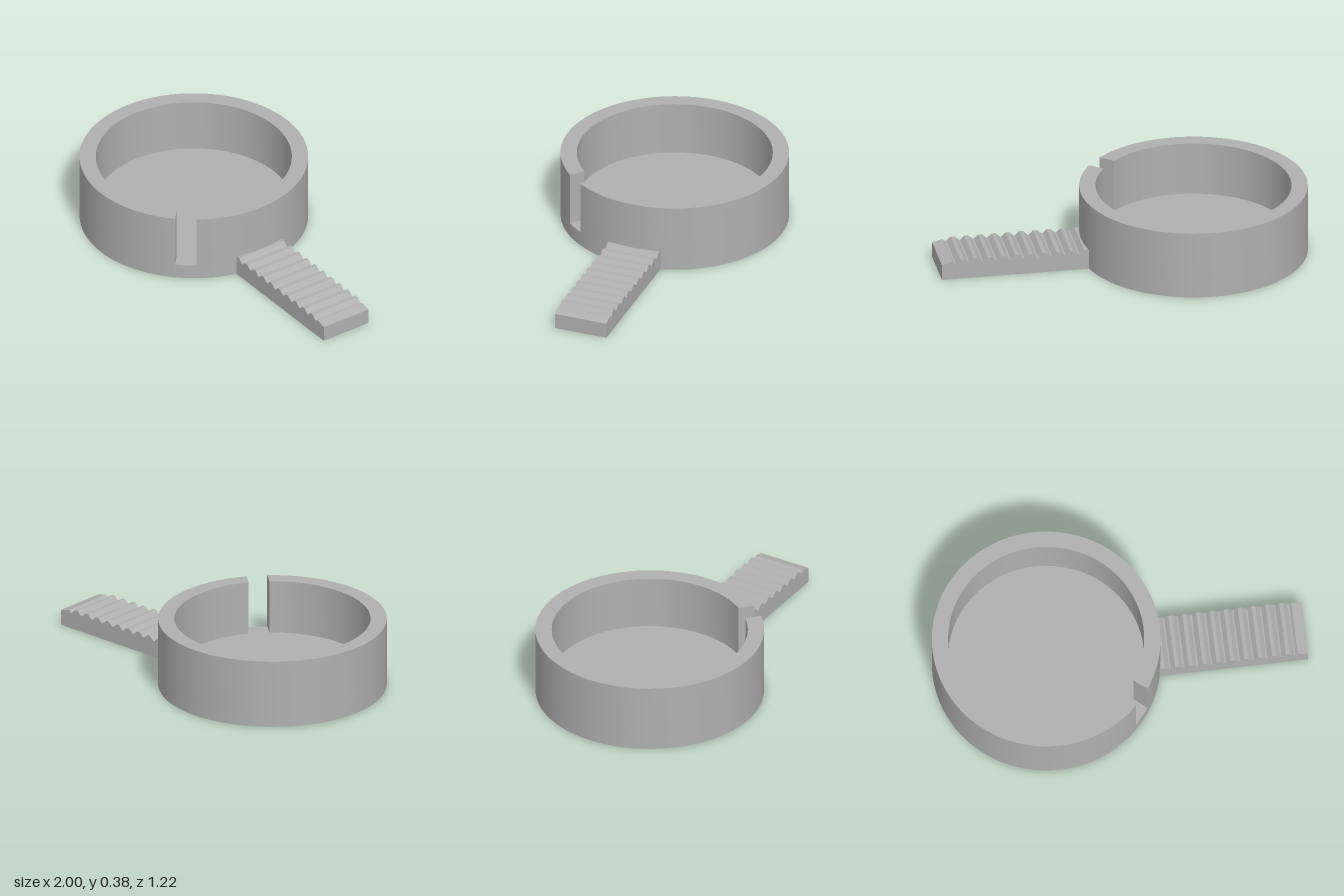
import * as THREE from 'three';
import { toCreasedNormals } from 'three/addons/utils/BufferGeometryUtils.js';

const CX = -0.39, R = 0.61, RI = 0.523;      // cup centre and radii
const FLOOR = 0.08, TOP = 0.375;             // floor and rim heights
const HALF = 0.147, SPLIT = 0.06;            // handle half width, recess depth
const PITCH = 0.0745, FIRST = 0.22;          // tooth spacing and first tooth

export function createModel() {
  const gray = new THREE.MeshStandardMaterial({ color: 0xb0b0b0 });
  gray.name = 'gray';
  const group = new THREE.Group();
  const add = (name, geometry) => {
    const mesh = new THREE.Mesh(geometry, gray);
    mesh.name = name;
    group.add(mesh);
    return mesh;
  };
  const extrude = (shape, depth) =>
    new THREE.ExtrudeGeometry(shape, { depth, bevelEnabled: false, curveSegments: 64 });

  // Solid cup floor
  add('cupFloor', new THREE.CylinderGeometry(R, R, FLOOR, 128)).position.set(CX, FLOOR / 2, 0);

  // Cup wall, open at a parallel-sided slot
  const slot = THREE.MathUtils.degToRad(-39.8), halfSlot = 0.056;
  const ao = Math.asin(halfSlot / R), ai = Math.asin(halfSlot / RI);
  const ring = new THREE.Shape();
  ring.absarc(0, 0, R, slot + ao, slot - ao + Math.PI * 2, false);
  ring.absarc(0, 0, RI, slot - ai + Math.PI * 2, slot + ai, true);
  ring.closePath();
  const wall = extrude(ring, TOP - FLOOR).rotateX(-Math.PI / 2);
  add('cupWall', toCreasedNormals(wall, 0.5)).position.set(CX, FLOOR, 0);

  // Lower handle, with a row of narrow recesses underneath
  const x0 = 0.16;
  const plate = new THREE.Shape([
    new THREE.Vector2(x0, -HALF), new THREE.Vector2(1, -HALF),
    new THREE.Vector2(1, HALF), new THREE.Vector2(x0, HALF),
  ]);
  for (let i = 1; i <= 9; i++) {
    const x = FIRST + i * PITCH, w = 0.014, l = 0.06;
    plate.holes.push(new THREE.Path([
      new THREE.Vector2(x - w, -l), new THREE.Vector2(x - w, l),
      new THREE.Vector2(x + w, l), new THREE.Vector2(x + w, -l),
    ]));
  }
  add('handleBase', extrude(plate, SPLIT).rotateX(-Math.PI / 2));

  // Upper handle, with a ridged top
  const rack = new THREE.Shape();
  rack.moveTo(x0, SPLIT);
  rack.lineTo(1, SPLIT);
  rack.lineTo(1, 0.086);
  rack.lineTo(0.945, 0.101);
  for (let i = 9; i >= 0; i--) {
    const x = FIRST + i * PITCH;
    rack.lineTo(x + 0.041, 0.09);
    rack.lineTo(x + 0.033, 0.09);
    rack.lineTo(x + 0.01, 0.112);
    rack.lineTo(x - 0.01, 0.112);
  }
  rack.lineTo(x0, 0.09);
  rack.closePath();
  add('handleRidges', extrude(rack, HALF * 2)).position.z = -HALF;

  return group;
}
